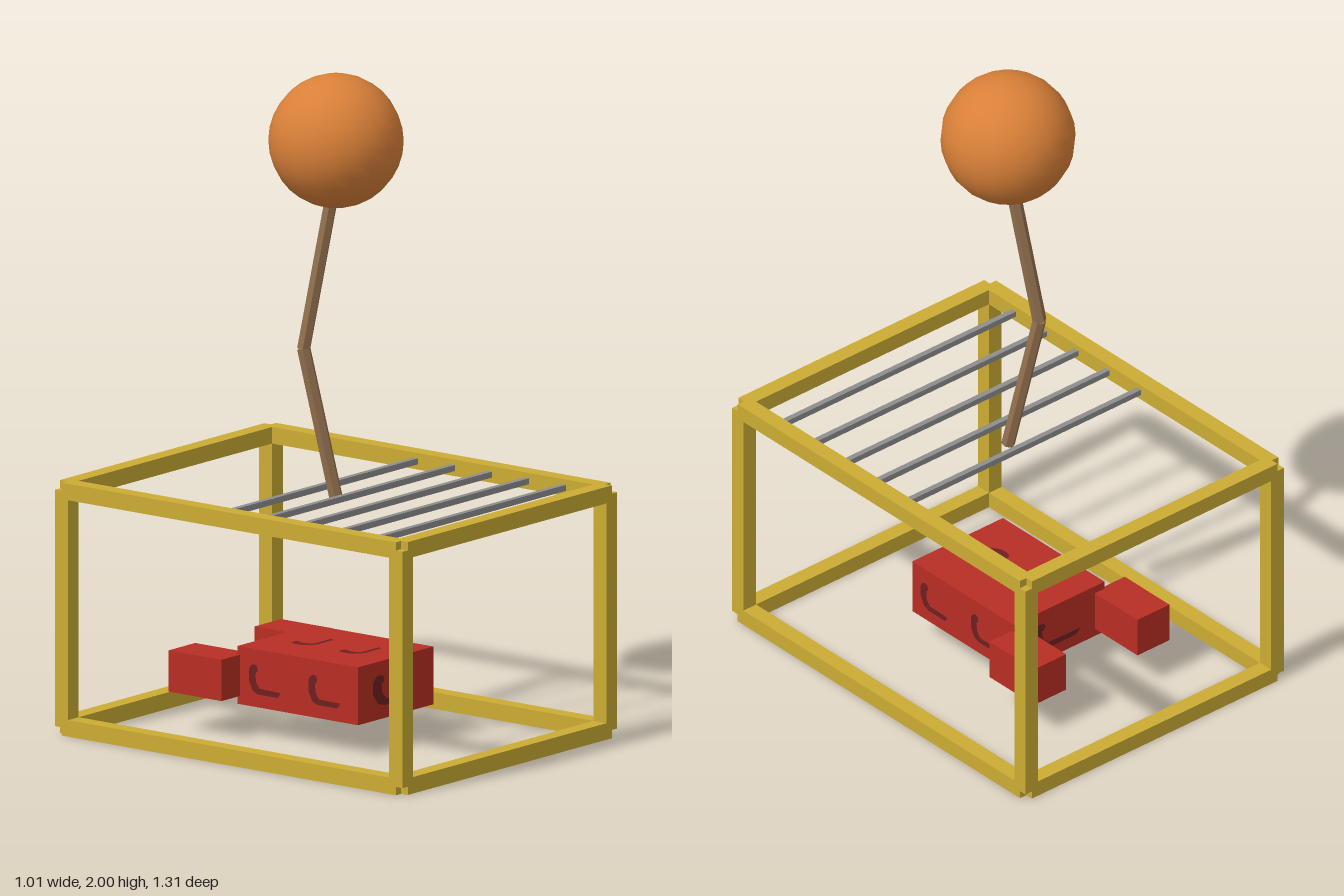
import * as THREE from 'three';

const mat = (name, color, extra = {}) => {
  const m = new THREE.MeshStandardMaterial({ color, ...extra });
  m.name = name;
  return m;
};

export function createModel() {
  const yellow = mat('yellow frame', 0xccac34);
  const red = mat('red body', 0xb82e24);
  const darkRed = mat('dark red mark', 0x6e2020);
  const orange = mat('orange ball', 0xd98038);
  const brown = mat('brown stick', 0x92704e, { flatShading: true });
  const grey = mat('grey bar', 0x8e8e8e);

  const model = new THREE.Group();
  model.name = 'cageWithBall';
  const add = (name, geo, material, x, y, z, parent = model) => {
    const mesh = new THREE.Mesh(geo, material);
    mesh.name = name;
    mesh.position.set(x, y, z);
    parent.add(mesh);
    return mesh;
  };
  const box = (name, material, w, h, d, x, y, z, parent) =>
    add(name, new THREE.BoxGeometry(w, h, d), material, x, y, z, parent);

  // Frame: beams end at the corner centres, leaving a small notch at each corner
  const frame = new THREE.Group();
  frame.name = 'frame';
  model.add(frame);
  const X = 0.481, Z = 0.632, LOW = 0.025, HIGH = 0.74, T = 0.05;
  const MID = (LOW + HIGH) / 2;
  for (const s of [-1, 1]) {
    for (const y of [LOW, HIGH]) {
      box('crossBeam', yellow, 2 * X, T, T, 0, y, s * Z, frame);
      box('sideBeam', yellow, T, T, 2 * Z, s * X, y, 0, frame);
    }
    for (const t of [-1, 1]) box('post', yellow, T, HIGH - LOW, T, s * X, MID, t * Z, frame);
  }

  // Bars across the front half of the top
  for (let i = 0; i < 5; i++) {
    box('roofBar', grey, 2 * X - T, 0.018, 0.018, 0, HIGH, -0.065 + i * 0.14);
  }

  // Bent stick and ball
  const up = new THREE.Vector3(0, 1, 0);
  const path = [[0, 0.72, 0], [-0.055, 1.17, -0.078], [0, 1.7, 0]].map(p => new THREE.Vector3(...p));
  for (let i = 0; i < 2; i++) {
    const dir = path[i + 1].clone().sub(path[i]);
    const c = path[i].clone().add(path[i + 1]).multiplyScalar(0.5);
    const seg = add('stickSegment', new THREE.CylinderGeometry(0.021, 0.021, dir.length(), 6), brown, c.x, c.y, c.z);
    seg.quaternion.setFromUnitVectors(up, dir.normalize());
  }
  add('ball', new THREE.SphereGeometry(0.2, 20, 16), orange, 0, 1.8, 0);

  // Floating body with two blocks at the back
  const body = new THREE.Group();
  body.name = 'body';
  model.add(body);
  box('bodyBlock', red, 0.355, 0.175, 0.455, 0, 0.1825, -0.002, body);
  for (const s of [-1, 1]) box('rearBlock', red, 0.125, 0.125, 0.2, s * 0.2025, 0.1825, -0.32, body);

  // Boot-shaped marks, starting at the lower left corner of the shape
  const bootGeometry = (w, h) => {
    const s = new THREE.Shape();
    s.moveTo(0.12 * w, 0.1 * h);
    s.lineTo(0, 0.42 * h);
    s.lineTo(0, 0.78 * h);
    s.quadraticCurveTo(0.08 * w, 1.08 * h, 0.26 * w, 0.95 * h);
    s.lineTo(0.28 * w, 0.78 * h);
    s.lineTo(0.21 * w, 0.7 * h);
    s.lineTo(0.23 * w, 0.4 * h);
    s.lineTo(0.34 * w, 0.2 * h);
    s.lineTo(w, 0.18 * h);
    s.lineTo(0.92 * w, 0);
    s.lineTo(0.28 * w, 0);
    return new THREE.ShapeGeometry(s, 5);
  };
  const mark = (w, h, pos, rx, ry) => {
    add('bootMark', bootGeometry(w, h), darkRed, ...pos, body).rotation.set(rx, ry, 0);
  };
  const e = 0.003, Q = Math.PI / 2;
  mark(0.19, 0.095, [-0.11, 0.135, 0.2255 + e], 0, 0);
  mark(0.19, 0.095, [0.11, 0.135, -0.2295 - e], 0, Math.PI);
  for (const z of [0.185, -0.04]) {
    mark(0.12, 0.09, [0.1775 + e, 0.135, z], 0, Q);
    mark(0.12, 0.09, [-0.1775 - e, 0.135, -z], 0, -Q);
  }
  for (const z of [0.13, -0.05]) {
    mark(0.12, 0.08, [-0.06, 0.27 + e, z], -Q, 0);
    mark(0.12, 0.08, [-0.06, 0.095 - e, -z], Q, 0);
  }
  return model;
}
